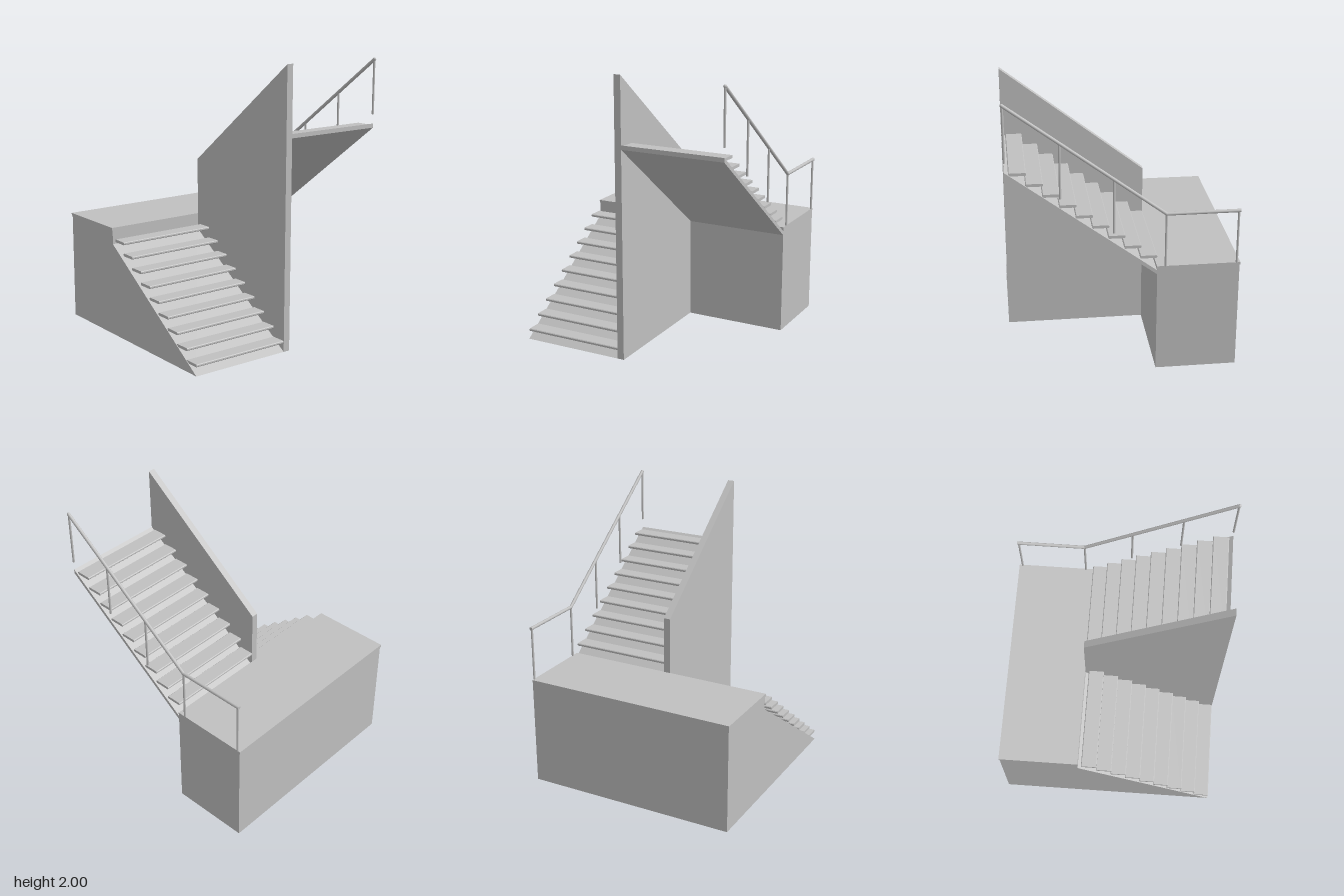
import * as THREE from 'three';

export function createModel() {
  const model = new THREE.Group();
  model.name = 'staircase';
  const grey = new THREE.MeshStandardMaterial({ color: 0xc0c0c0 });
  grey.name = 'light grey';

  const add = (name, geometry, parent = model) => {
    const mesh = new THREE.Mesh(geometry, grey);
    mesh.name = name;
    parent.add(mesh);
    return mesh;
  };
  const group = (name) => {
    const g = new THREE.Group();
    g.name = name;
    model.add(g);
    return g;
  };
  // Side profile in x and y, extruded from z0 to z1
  const prism = (points, z0, z1) => {
    const shape = new THREE.Shape(points.map(([x, y]) => new THREE.Vector2(x, y)));
    return new THREE.ExtrudeGeometry(shape, { depth: z1 - z0, bevelEnabled: false }).translate(0, 0, z0);
  };
  const block = (x0, x1, y0, y1, z0, z1) =>
    new THREE.BoxGeometry(x1 - x0, y1 - y0, z1 - z0).translate((x0 + x1) / 2, (y0 + y1) / 2, (z0 + z1) / 2);
  // Round bar between two points
  const bar = (name, a, b, radius, parent) => {
    const from = new THREE.Vector3(...a), to = new THREE.Vector3(...b);
    const dir = to.clone().sub(from);
    const mesh = add(name, new THREE.CylinderGeometry(radius, radius, dir.length(), 12), parent);
    mesh.position.copy(from).add(to).multiplyScalar(0.5);
    mesh.quaternion.setFromUnitVectors(new THREE.Vector3(0, 1, 0), dir.normalize());
  };

  const inner = -0.225, outer = 0.785;

  // Landing block with a slightly overhanging top
  add('landingBase', block(-0.795, inner, 0, 0.78, -0.775, 0.78));
  add('landingTop', block(-0.8, inner + 0.002, 0.78, 0.8, -0.775, 0.785));

  // Dividing wall with a sloping top
  add('dividingWall', prism([[inner, 0], [outer, 0], [outer, 2], [inner, 1.215]], -0.02, 0.03));

  // Solid lower ramp and thin upper slab
  add('lowerRamp', prism([[inner, 0], [outer, 0], [inner, 0.68]], 0.03, 0.78));
  add('upperSlab', prism([[inner, 0.74], [outer, 1.5], [outer, 1.53], [inner, 0.77]], -0.775, -0.02));

  // Treads with eased edges, nine to each flight
  const depth = 0.115, thick = 0.02, ease = 0.005, going = 0.1085, rise = 0.08;
  const tread = (x, top, z0, z1) => prism([
    [x + ease, top - thick], [x + depth - ease, top - thick],
    [x + depth, top - thick + ease], [x + depth, top - ease],
    [x + depth - ease, top], [x + ease, top],
    [x, top - ease], [x, top - thick + ease],
  ], z0, z1);
  const lower = group('lowerTreads'), upper = group('upperTreads');
  for (let i = 0; i < 9; i++) {
    add('lowerTread', tread(-0.2 + i * going, 0.72 - i * rise, 0.03, 0.775), lower);
    add('upperTread', tread(inner + i * going, 0.88 + i * rise, -0.765, -0.02), upper);
  }

  // Handrail along the back
  const rail = group('handrail'), z = -0.773, r = 0.012;
  const bend = [-0.283, 1.187, z], start = [-0.788, 1.187, z], end = [0.783, 1.985, z];
  bar('landingRail', start, bend, r, rail);
  bar('slopingRail', bend, end, r, rail);
  for (const p of [bend, end]) {
    add('railJoint', new THREE.SphereGeometry(r, 12, 8), rail).position.set(...p);
  }
  for (const x of [-0.775, -0.283, 0.07, 0.425, 0.781]) {
    const y = 1.187 + Math.max(0, x - bend[0]) * (end[1] - bend[1]) / (end[0] - bend[0]);
    bar('railPost', [x, y - 0.387, z], [x, y, z], 0.008, rail);
  }
  return model;
}
